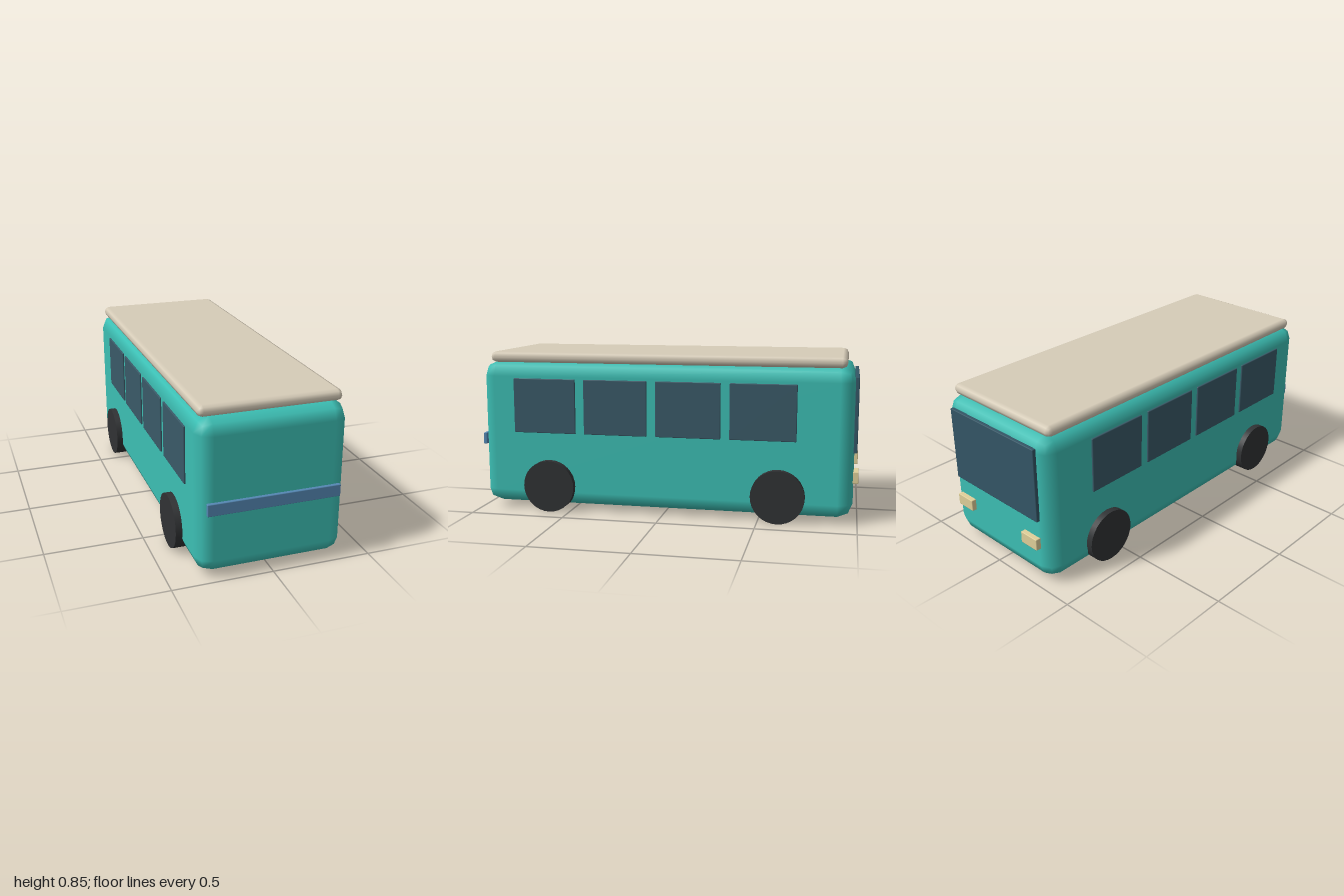
import * as THREE from 'three';
import { RoundedBoxGeometry } from 'three/addons/geometries/RoundedBoxGeometry.js';

const paint = (color) => new THREE.MeshStandardMaterial({ color });

export function createModel() {
  const bus = new THREE.Group();
  bus.name = 'bus';

  const teal = paint(0x3cbfb4);
  const cream = paint(0xd6ccb8);
  const glass = paint(0x3a5a68);
  const darkGlass = paint(0x345666);
  const rubber = paint(0x303234);
  const lamp = paint(0xe0d09a);
  const blue = paint(0x5588b4);

  // Bevelled box given by its size, centre and bevel radius
  function block(name, material, [w, h, d], [x, y, z], radius) {
    const mesh = new THREE.Mesh(new RoundedBoxGeometry(w, h, d, 1, radius), material);
    mesh.name = name;
    mesh.position.set(x, y, z);
    bus.add(mesh);
  }

  // Shell and roof slab
  block('body', teal, [0.734, 0.766, 1.96], [0, 0.41, 0.005], 0.075);
  block('roof', cream, [0.7, 0.056, 1.87], [0, 0.817, 0.003], 0.027);

  // Stripe on the +z end, windscreen and lamps on the -z end
  block('stripe', blue, [0.656, 0.061, 0.02], [0, 0.372, 0.99], 0.004);
  block('windscreen', darkGlass, [0.606, 0.385, 0.02], [0, 0.553, -0.98], 0.004);
  for (const side of [-1, 1]) {
    block('headlamp', lamp, [0.11, 0.061, 0.03], [side * 0.245, 0.235, -0.985], 0.004);
  }

  // Side windows and wheels, mirrored left and right
  const wheelGeometry = new THREE.CylinderGeometry(0.1375, 0.1375, 0.07, 32).rotateZ(Math.PI / 2);
  for (const side of [-1, 1]) {
    for (let i = 0; i < 4; i++) {
      block('sideWindow', glass, [0.02, 0.288, 0.338], [side * 0.365, 0.564, 0.63 - i * 0.384], 0.004);
    }
    for (const z of [0.607, -0.602]) {
      const wheel = new THREE.Mesh(wheelGeometry, rubber);
      wheel.name = 'wheel';
      wheel.position.set(side * 0.365, 0.1375, z);
      bus.add(wheel);
    }
  }
  return bus;
}
